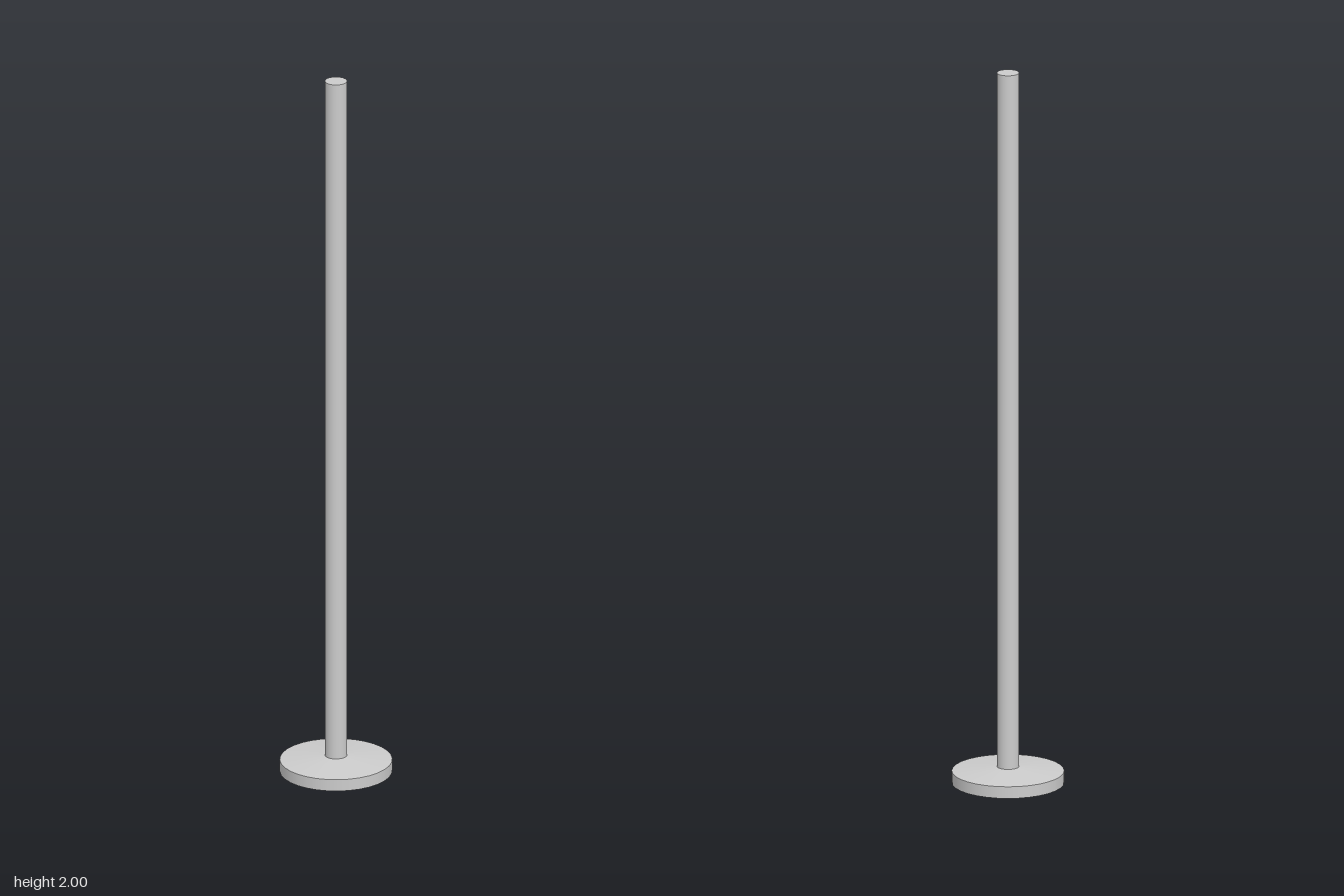
import * as THREE from 'three';

const SIDES = 32;
const BASE_RADIUS = 0.152;
const POLE_RADIUS = 0.03;
const RIM_HEIGHT = 0.033;
const SLOPE_TOP = 0.045;
const HEIGHT = 2;

export function createModel() {
  const model = new THREE.Group();
  model.name = 'poleOnStand';
  const material = new THREE.MeshStandardMaterial({ color: 0xcccccc });

  // Upright round section between two heights
  function addRound(name, parent, rTop, rBottom, y0, y1, open = false) {
    const geometry = new THREE.CylinderGeometry(rTop, rBottom, y1 - y0, SIDES, 1, open);
    const mesh = new THREE.Mesh(geometry, material);
    mesh.position.y = (y0 + y1) / 2;
    mesh.name = name;
    parent.add(mesh);
  }

  // Weighted foot: straight rim with a shallow cone on top
  const base = new THREE.Group();
  base.name = 'base';
  addRound('baseRim', base, BASE_RADIUS, BASE_RADIUS, 0, RIM_HEIGHT);
  addRound('baseSlope', base, POLE_RADIUS, BASE_RADIUS, RIM_HEIGHT, SLOPE_TOP, true);
  model.add(base);

  // Pole with a flat top
  addRound('pole', model, POLE_RADIUS, POLE_RADIUS, RIM_HEIGHT, HEIGHT);

  return model;
}
